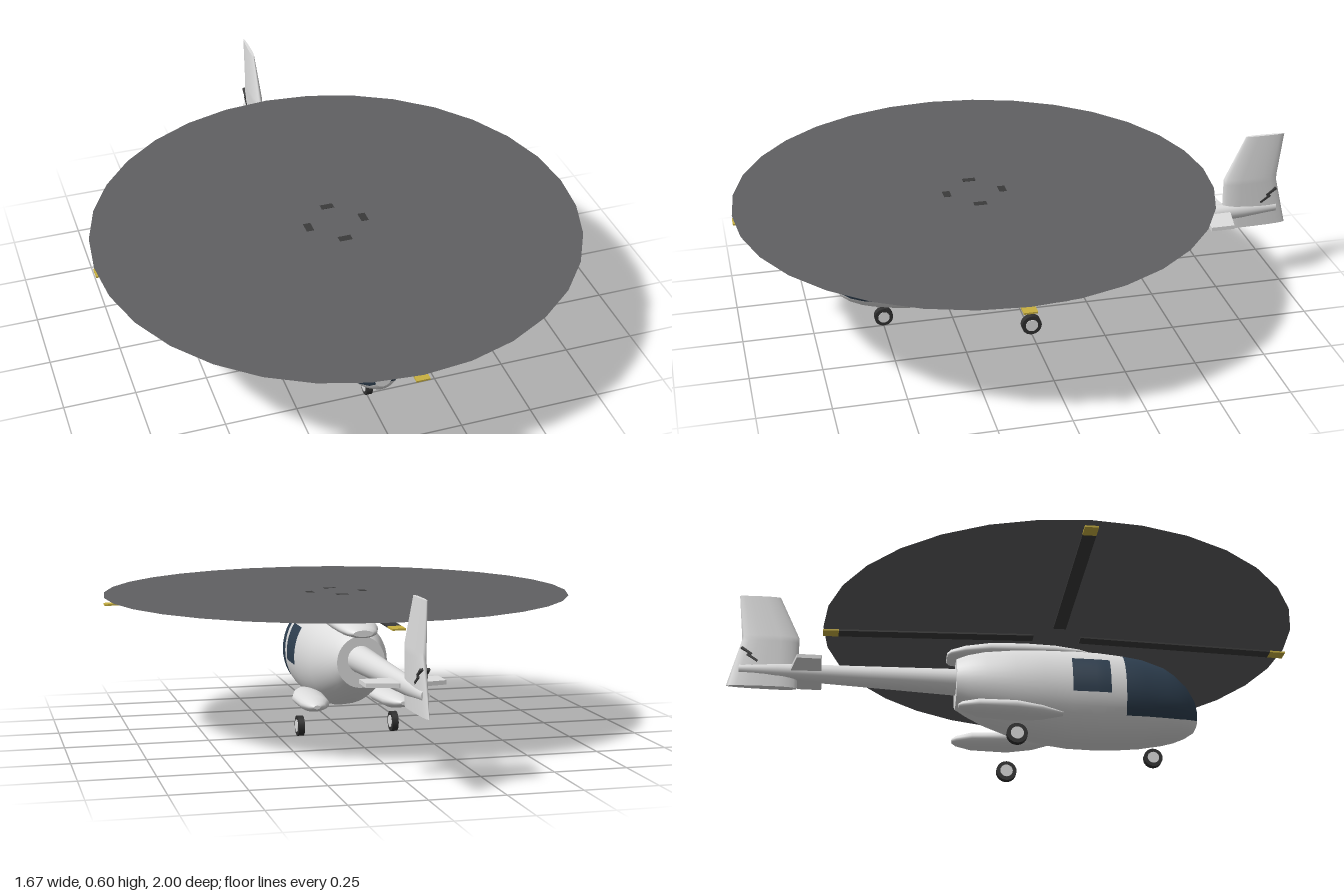
import * as THREE from 'three';

const mat = (name, color, side = THREE.FrontSide) => {
  const m = new THREE.MeshStandardMaterial({ color, side });
  m.name = name;
  return m;
};

// Angles round a cross-section, counter-clockwise seen from the front
const arc = (from, to, n) => Array.from({ length: n }, (_, i) => from + (to - from) * i / n);
const round = n => arc(0, Math.PI * 2, n);

// Skin over egg-shaped sections [z, top, bottom, halfWidth, widestY, centreX], from front to back.
// Faces for which isSecond(row, column) holds get the second material.
function loft(sections, angles, isSecond = () => false) {
  const n = angles.length, pos = [], first = [], second = [];
  const ring = ([z, top, bot, w, mid, cx = 0]) => angles.forEach(t => {
    const s = Math.sin(t);
    pos.push(cx + w * Math.cos(t), mid + (s > 0 ? top - mid : mid - bot) * s, z);
  });
  sections.forEach(ring);
  for (let i = 0; i < sections.length - 1; i++) {
    for (let j = 0; j < n; j++) {
      const k = (j + 1) % n, a = i * n, b = a + n;
      (isSecond(i, j) ? second : first).push(a + j, b + j, b + k, a + j, b + k, a + k);
    }
  }
  // End caps with their own vertices, for crisp rims
  [sections[0], sections[sections.length - 1]].forEach((s, end) => {
    const base = pos.length / 3;
    ring(s);
    pos.push(s[5] || 0, s[4], s[0]);
    for (let j = 0; j < n; j++) {
      const k = (j + 1) % n;
      first.push(base + n, base + (end ? k : j), base + (end ? j : k));
    }
  });
  const g = new THREE.BufferGeometry();
  g.setAttribute('position', new THREE.Float32BufferAttribute(pos, 3));
  g.setIndex([...first, ...second]);
  g.addGroup(0, first.length, 0);
  if (second.length) g.addGroup(first.length, second.length, 1);
  g.computeVertexNormals();
  return g;
}

export function createModel() {
  const model = new THREE.Group();
  model.name = 'helicopter';
  const paint = mat('light grey paint', 0xdedede);
  const glass = mat('dark blue glass', 0x2e3f50, THREE.DoubleSide);
  const disc = mat('rotor disc grey', 0x606062, THREE.DoubleSide);
  const dark = mat('dark blade', 0x3a3a3a);
  const yellow = mat('yellow tip', 0xc8b040);
  const rubber = mat('tyre black', 0x303030);

  const add = (name, geometry, material, parent = model) => {
    const m = new THREE.Mesh(geometry, material);
    m.name = name;
    parent.add(m);
    return m;
  };

  // Fuselage with the windscreen as a second material
  const hull = [
    [0.66, 0.235, 0.165, 0.03, 0.2],
    [0.65, 0.267, 0.145, 0.055, 0.205],
    [0.62, 0.317, 0.125, 0.085, 0.212],
    [0.58, 0.357, 0.108, 0.105, 0.22],
    [0.54, 0.384, 0.097, 0.118, 0.228],
    [0.46, 0.41, 0.082, 0.135, 0.24],
    [0.39, 0.42, 0.075, 0.141, 0.245],
    [0.3, 0.428, 0.07, 0.145, 0.25],
    [0.2, 0.43, 0.072, 0.145, 0.25],
    [0.1, 0.43, 0.085, 0.144, 0.255],
    [0, 0.425, 0.107, 0.138, 0.262],
    [-0.1, 0.415, 0.145, 0.12, 0.275],
    [-0.16, 0.4, 0.175, 0.1, 0.285],
    [-0.2, 0.38, 0.2, 0.085, 0.29],
  ];
  const sill = -0.607, upper = 28;
  const hullAngles = [...arc(sill, Math.PI - sill, upper), ...arc(Math.PI - sill, Math.PI * 2 + sill, 12)];
  add('fuselage', loft(hull, hullAngles, (i, j) => i < 6 && j < upper), [paint, glass]);

  // Side windows: thin patches that follow the hull
  const widthAt = (z, y) => {
    const i = hull.findIndex(s => s[0] <= z), a = hull[i - 1], b = hull[i];
    const [, top, bot, w, mid] = a.map((v, k) => THREE.MathUtils.lerp(v, b[k], (z - a[0]) / (b[0] - a[0])));
    const s = (y - mid) / (y > mid ? top - mid : mid - bot);
    return w * Math.sqrt(1 - s * s);
  };
  for (const side of [1, -1]) {
    const g = new THREE.PlaneGeometry(0.135, 0.138, 8, 8);
    const p = g.attributes.position;
    for (let i = 0; i < p.count; i++) {
      const z = 0.2675 - side * p.getX(i), y = 0.289 + p.getY(i);
      p.setXYZ(i, side * (widthAt(z, y) + 0.003), y, z);
    }
    g.computeVertexNormals();
    add(side > 0 ? 'leftWindow' : 'rightWindow', g, glass);
  }

  // Engine housing on the roof
  add('engineHousing', loft([
    [0.3, 0.427, 0.41, 0.03, 0.418],
    [0.24, 0.437, 0.4, 0.06, 0.415],
    [0.15, 0.446, 0.385, 0.077, 0.412],
    [0.04, 0.45, 0.375, 0.08, 0.41],
    [-0.08, 0.445, 0.372, 0.078, 0.408],
    [-0.17, 0.43, 0.373, 0.068, 0.4],
    [-0.22, 0.414, 0.376, 0.052, 0.394],
    [-0.232, 0.404, 0.382, 0.035, 0.392],
  ], round(28)), paint);

  // Tail boom
  add('tailBoom', loft([
    [-0.17, 0.347, 0.25, 0.048, 0.298],
    [-0.5, 0.342, 0.265, 0.036, 0.304],
    [-0.83, 0.338, 0.28, 0.024, 0.309],
    [-0.96, 0.327, 0.293, 0.014, 0.31],
  ], round(24)), paint);

  // Tail fin: lofted from top to bottom, then stood upright
  add('tailFin', loft([
    [0.6, 0.975, 0.83, 0.006, 0.88],
    [0.44, 0.957, 0.755, 0.018, 0.82],
    [0.42, 0.957, 0.755, 0.018, 0.82],
    [0.245, 1.0, 0.755, 0.014, 0.82],
  ], round(20)).rotateX(-Math.PI / 2), paint);
  for (const [y, z] of [[0.378, -0.937], [0.352, -0.915]]) {
    const slot = add('finSlot', new THREE.BoxGeometry(0.032, 0.008, 0.045), dark);
    slot.position.set(0, y, z);
    slot.rotation.x = 0.6;
  }

  // Tailplane
  const plan = new THREE.Shape([
    [-0.13, 0.672], [0.13, 0.672], [0.13, 0.757], [0.03, 0.778], [-0.03, 0.778], [-0.13, 0.757],
  ].map(p => new THREE.Vector2(...p)));
  add('tailplane', new THREE.ExtrudeGeometry(plan, { depth: 0.014, bevelEnabled: false })
    .rotateX(-Math.PI / 2).translate(0, 0.304, 0), paint);

  // Sponsons either side of the belly
  for (const side of [1, -1]) {
    add(side > 0 ? 'leftSponson' : 'rightSponson', loft([
      [0.165, 0.146, 0.132, 0.012, 0.139, 0.125],
      [0.09, 0.158, 0.114, 0.04, 0.137, 0.135],
      [0, 0.166, 0.106, 0.058, 0.136, 0.142],
      [-0.13, 0.164, 0.11, 0.052, 0.137, 0.147],
      [-0.185, 0.153, 0.122, 0.03, 0.138, 0.152],
      [-0.2, 0.145, 0.132, 0.012, 0.139, 0.155],
    ].map(s => s.with(5, s[5] * side)), round(20)), paint);
  }

  // Wheels: nose wheel and two main wheels
  for (const [name, x, z, r] of [['noseWheel', 0, 0.5, 0.033], ['leftWheel', 0.172, 0, 0.036], ['rightWheel', -0.172, 0, 0.036]]) {
    const wheel = new THREE.Group();
    wheel.name = name;
    wheel.position.set(x, name === 'noseWheel' ? 0.039 : 0.036, z);
    add('tyre', new THREE.CylinderGeometry(r, r, 0.022, 24).rotateZ(Math.PI / 2), rubber, wheel);
    add('wheelHub', new THREE.CylinderGeometry(r * 0.62, r * 0.62, 0.026, 20).rotateZ(Math.PI / 2), paint, wheel);
    model.add(wheel);
  }

  // Main rotor: flat disc above four drooping blades with yellow tips
  const rotor = new THREE.Group();
  rotor.name = 'mainRotor';
  rotor.position.set(0, 0.493, 0.163);
  add('rotorDisc', new THREE.CircleGeometry(0.837, 32).rotateX(-Math.PI / 2), disc, rotor);
  for (let i = 0; i < 4; i++) {
    const blade = new THREE.Group();
    blade.name = 'rotorBlade';
    blade.rotation.set(0, i * Math.PI / 2, -0.027, 'YXZ');
    add('bladeSpan', new THREE.BoxGeometry(0.697, 0.006, 0.045).translate(0.4335, 0, 0), dark, blade);
    add('bladeTip', new THREE.BoxGeometry(0.055, 0.006, 0.045).translate(0.8095, 0, 0), yellow, blade);
    rotor.add(blade);
  }
  model.add(rotor);
  return model;
}
